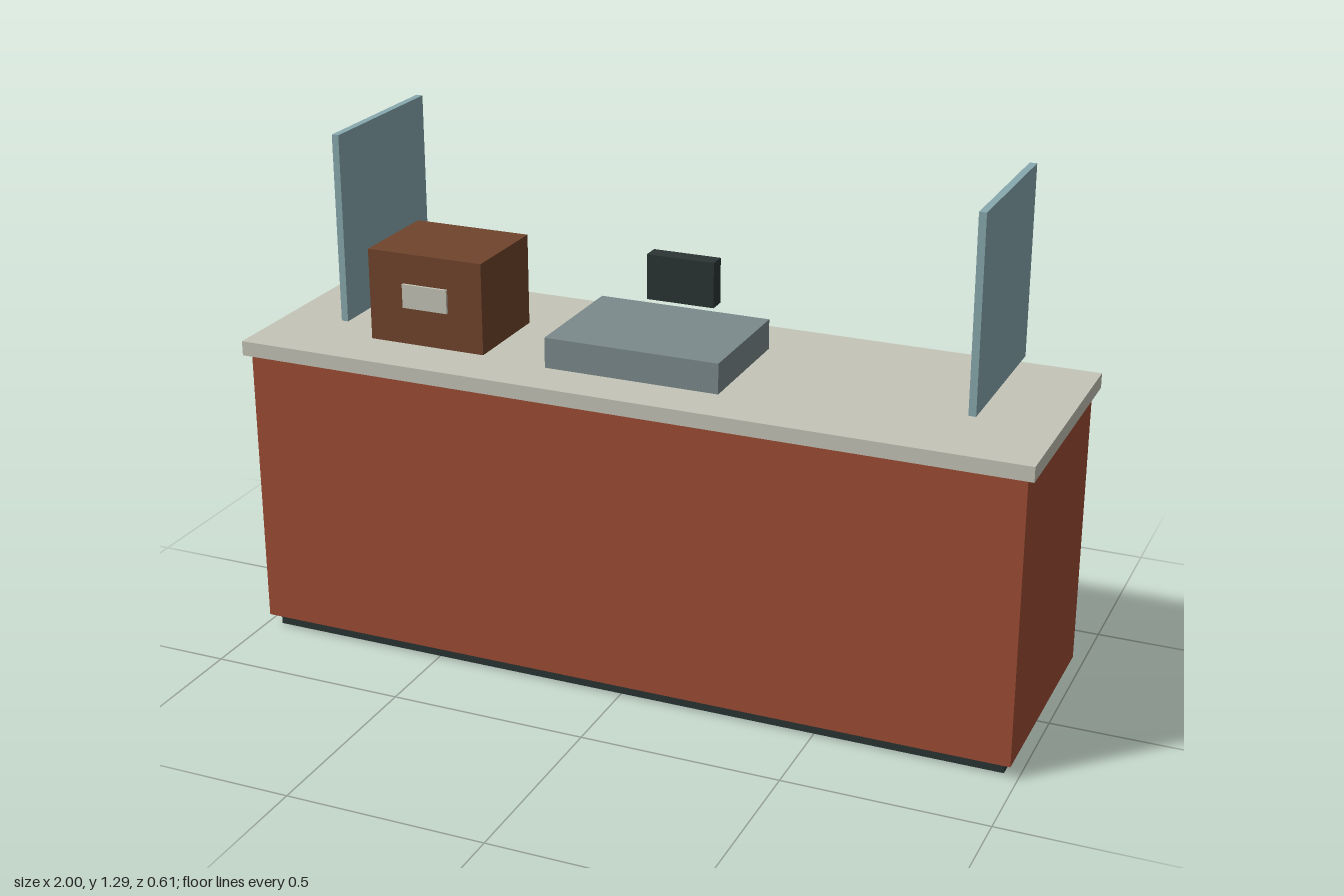
import * as THREE from 'three';

const material = (name, color) => {
  const m = new THREE.MeshStandardMaterial({ color });
  m.name = name;
  return m;
};

export function createModel() {
  const group = new THREE.Group();
  group.name = 'serviceCounter';

  const brick = material('brickRed', 0x9e4d34);
  const stone = material('paleStone', 0xc5c5b8);
  const dark = material('charcoal', 0x2b3434);
  const wood = material('brownWood', 0x70452c);
  const grey = material('slateGrey', 0x7b8a8c);
  const glass = material('blueGlass', 0x88aaaf);

  // Box given by its limits on each axis
  const box = (name, mat, [x0, x1], [y0, y1], [z0, z1]) => {
    const mesh = new THREE.Mesh(new THREE.BoxGeometry(x1 - x0, y1 - y0, z1 - z0), mat);
    mesh.position.set((x0 + x1) / 2, (y0 + y1) / 2, (z0 + z1) / 2);
    mesh.name = name;
    group.add(mesh);
  };

  // Counter: recessed plinth, body and overhanging top
  box('plinth', dark, [-0.963, 0.963], [0, 0.033], [-0.268, 0.268]);
  box('counterBody', brick, [-0.983, 0.983], [0.033, 0.75], [-0.292, 0.292]);
  box('counterTop', stone, [-1, 1], [0.75, 0.787], [-0.307, 0.307]);

  // Register tray and its screen
  box('registerTray', grey, [-0.222, 0.222], [0.797, 0.873], [-0.127, 0.203]);
  box('registerScreen', dark, [-0.088, 0.088], [0.892, 1.007], [-0.143, -0.098]);

  // Wooden box with a label plate
  box('woodenBox', wood, [-0.693, -0.388], [0.803, 1.033], [-0.052, 0.2]);
  box('boxLabel', stone, [-0.6, -0.48], [0.897, 0.957], [0.199, 0.207]);

  // Glass screens at both ends
  for (const side of [-1, 1]) {
    const x = side * 0.808;
    box(side > 0 ? 'leftGlassScreen' : 'rightGlassScreen', glass,
      [x - 0.009, x + 0.009], [0.81, 1.287], [-0.289, 0.134]);
  }

  return group;
}
